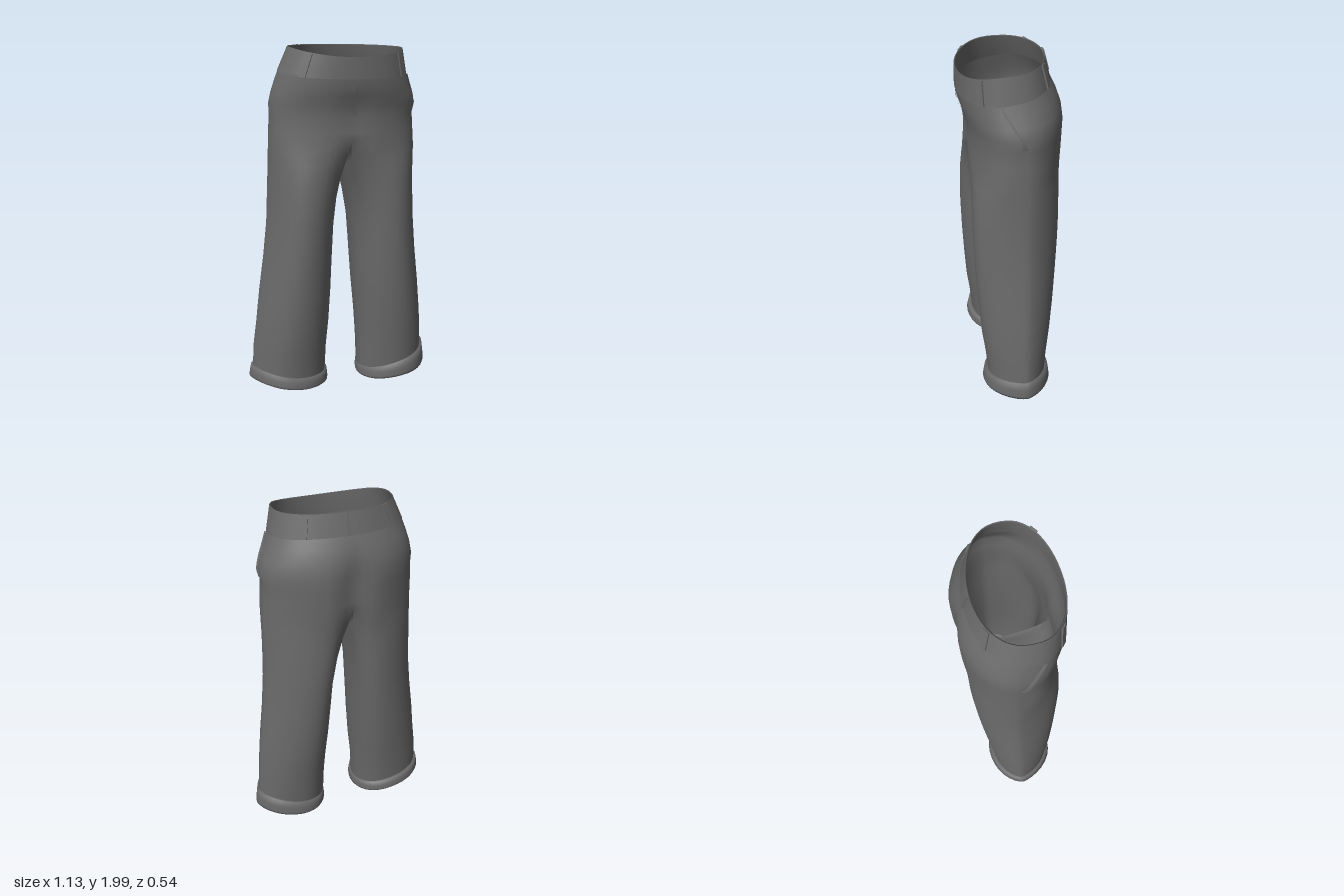
import * as THREE from 'three';
import { mergeGeometries, mergeVertices } from 'three/addons/utils/BufferGeometryUtils.js';

const cloth = new THREE.MeshStandardMaterial({ color: 0x6a6a6a, side: THREE.DoubleSide });
cloth.name = 'grey cloth';

const OUT = 28, INN = 10, RING = OUT + INN; // segments round the outside and inside of a leg
const CROTCH = 6; // row at which the inner leg begins

// y, front z, back z, blend (1 = joined hips, 0 = separate leg), tilt
const rows = [
  [1.865, .265, -.213, 1, .14], [1.80, .262, -.25, 1, .11], [1.74, .25, -.277, 1, .07],
  [1.68, .237, -.288, 1, .03], [1.62, .228, -.288, 1, 0], [1.53, .229, -.285, 1, 0],
  [1.43, .236, -.281, 1, 0], [1.36, .238, -.274, .62, 0], [1.27, .238, -.265, .3, 0],
  [1.15, .238, -.259, .1, 0], [1.0, .236, -.25, 0, 0], [.8, .23, -.238, 0, 0],
  [.6, .22, -.222, 0, 0], [.4, .207, -.202, 0, 0], [.25, .188, -.182, 0, .01], [.05, .172, -.166, 0, .02],
];
// outer and inner x for the left leg (+x) and the right leg
const widths = {
  1: [[.36, 0], [.385, 0], [.415, 0], [.438, 0], [.427, 0], [.433, 0], [.438, 0], [.442, .01], [.445, .035],
    [.45, .055], [.457, .07], [.475, .078], [.5, .086], [.52, .1], [.532, .107], [.54, .112]],
  '-1': [[.355, 0], [.375, 0], [.393, 0], [.406, 0], [.403, 0], [.41, 0], [.415, 0], [.418, .008], [.422, .03],
    [.428, .043], [.436, .054], [.46, .064], [.49, .072], [.515, .085], [.535, .1], [.545, .11]],
};
const lerp = THREE.MathUtils.lerp;
const spow = (v, p) => Math.sign(v) * Math.abs(v) ** p;
// Leg cross-section drawn to a soft point at the side seam; c points outward, s forward
const legZ = (c, s, zc, d) => zc + d * spow(s, 1 + .3 * Math.max(0, c)) - .025 * Math.max(0, c) ** 2;

// Point on a row; u 0..1 runs front to back round the outside, 1..2 returns along the inside
function rowPoint(side, r, u) {
  const [y, f, b, k, tilt] = rows[r], [o, i] = widths[side][r];
  const zc = (f + b) / 2, d = (f - b) / 2, open = 140 * Math.PI / 180;
  const phi = u <= 1 ? open * (1 - 2 * u) : -open - (u - 1) * 2 * (Math.PI - open);
  const c = Math.cos(phi), s = Math.sin(phi);
  // the back of the leg is fullest towards the inside
  const skew = lerp(.02, .07, Math.min(1, y / 1.1));
  const lx = (o + i) / 2 + (o - i) / 2 * c - skew * Math.min(0, s) ** 2;
  const lz = legZ(c, s, zc, d);
  // centre seam crease, deeper at the back
  const low = THREE.MathUtils.smoothstep(1.84 - y, 0, .2);
  let bx = 0, bz, dy = 0;
  if (u <= 1) {
    const psi = Math.PI * (.5 - u), sin = Math.sin(psi);
    bx = o * Math.max(0, Math.cos(psi));
    bz = zc + d * spow(sin, sin > 0 ? .75 : lerp(.9, 1.08, low));
    const crease = Math.exp(-((bx / .08) ** 2)) * low;
    bz += bz < 0 ? .042 * crease : -.012 * crease;
  } else bz = THREE.MathUtils.clamp(zc + d * (2 * u - 3), b + .042 * low, f - .012 * low);
  // saddle-shaped crotch
  if (r >= CROTCH) {
    const t = u <= 1 ? 1 : 2 * u - 3;
    const seam = u <= 1 ? Math.exp(-((Math.min(u, 1 - u) / .1) ** 2)) : t * t;
    dy = k * (.06 * seam - .04 * (1 - t * t));
  }
  const x = lerp(lx, bx, k), z = lerp(lz, bz, k);
  dy += r < CROTCH ? -tilt * z : tilt * (x - (o + i) / 2) / ((o - i) / 2);
  return new THREE.Vector3(side * x, y + dy, z);
}

// Surface through rings listed top to bottom
function loft(rings, closed, flip = false, skip = () => false) {
  const n = rings[0].length, index = [];
  for (let r = 0; r < rings.length - 1; r++) {
    for (let j = 0; j < (closed ? n : n - 1); j++) {
      if (skip(r, j)) continue;
      const a = r * n + j, b = r * n + (j + 1) % n, c = a + n, e = b + n;
      index.push(...(flip ? [a, b, c, b, e, c] : [a, c, b, b, c, e]));
    }
  }
  const g = new THREE.BufferGeometry().setFromPoints(rings.flat());
  g.setIndex(index);
  return g;
}

function add(group, name, geometry) {
  geometry.computeVertexNormals();
  const m = new THREE.Mesh(geometry, cloth);
  m.name = name;
  group.add(m);
  return m;
}

function halfTrousers(side) {
  const rings = rows.map((_, r) => Array.from({ length: RING }, (_, j) =>
    rowPoint(side, r, j <= OUT ? j / OUT : 1 + (j - OUT) / INN)));
  return loft(rings, true, side < 0, (r, j) => r < CROTCH && j >= OUT);
}

// Point on the outside of the hips at any height
function hipPoint(side, y, u, lift) {
  let r = 0;
  while (r < CROTCH - 1 && rows[r + 1][0] > y) r++;
  const t = (rows[r][0] - y) / (rows[r][0] - rows[r + 1][0]);
  const p = rowPoint(side, r, u).lerp(rowPoint(side, r + 1, u), t);
  const out = new THREE.Vector3(p.x, 0, p.z).normalize();
  return p.addScaledVector(out, lift);
}

// Waistband surface; v 0 at the bottom, 1 at the top, angle 0 at the front
function bandPoint(a, v, lift = 0) {
  const s = Math.sin(a), cos = Math.cos(a), c = spow(cos, cos > 0 ? .82 : .88);
  const x = s * (lerp(s > 0 ? .362 : .357, s > 0 ? .332 : .302, v) + lift);
  const f = lerp(.266, .264, v), b = lerp(-.214, -.182, v);
  const z = (f + b) / 2 + c * ((f - b) / 2 + lift);
  const top = 1.986 - (z > 0 ? .78 * z * z : .07 * z);
  return new THREE.Vector3(x, lerp(1.855 - .14 * z, top, v), z);
}

function waistband(group) {
  const ring = (v, lift) => Array.from({ length: 48 }, (_, j) => bandPoint(j / 48 * Math.PI * 2, v, lift));
  add(group, 'waistband', loft([ring(1, .004), ring(.5, .004), ring(0, .004)], true));
  add(group, 'waistbandLining', loft([ring(1, .004), ring(.97, -.004), ring(0, -.003)], true, true));
  for (const a of [.95, -.86, Math.PI, Math.PI - .72, Math.PI + .68]) {
    const lo = bandPoint(a, 0, .009), hi = bandPoint(a, 1, .009);
    const up = hi.clone().sub(lo), len = up.length();
    up.normalize();
    const across = bandPoint(a + .03, .5).sub(bandPoint(a - .03, .5));
    const out = new THREE.Vector3().crossVectors(across, up).normalize();
    across.crossVectors(up, out);
    const loop = add(group, 'beltLoop', new THREE.BoxGeometry(.042, len * .96, .008));
    loop.quaternion.setFromRotationMatrix(new THREE.Matrix4().makeBasis(across, up, out));
    loop.position.copy(lo).lerp(hi, .5);
  }
}

// Turned-up cuff: thin flared band that dips towards the inner leg
function cuff(side) {
  const [o, i, yo, yi] = side > 0 ? [.54, .115, [.17, .052], [.065, .004]] : [.546, .1, [.14, .068], [.08, .015]];
  // grow outward, height from bottom (0) to top (1)
  const steps = [[-.02, .9], [.008, 1], [.015, .55], [.02, .15], [.016, 0], [-.016, .1]];
  const rings = steps.map(([grow, h]) => Array.from({ length: 32 }, (_, j) => {
    const a = j / 32 * Math.PI * 2, s = Math.sin(a), c = Math.cos(a), t = (s + 1) / 2;
    const wave = .004 * Math.sin(3 * a + side);
    const y = lerp(lerp(yi[1], yo[1], t ** .7), lerp(yi[0], yo[0], t ** .8), h) + wave;
    const x = (o + i) / 2 + s * ((o - i) / 2 + grow * (s > 0 ? 1 : .4)) - .02 * Math.min(0, c) ** 2;
    return new THREE.Vector3(side * x, Math.max(0, y), legZ(s, c, .004, .185 + grow));
  }));
  return loft(rings, true, side < 0);
}

export function createModel() {
  const group = new THREE.Group();
  group.name = 'trousers';
  const halves = mergeGeometries([halfTrousers(1), halfTrousers(-1)]);
  add(group, 'hipsAndLegs', mergeVertices(halves, 1e-4));
  waistband(group);
  for (const side of [1, -1]) {
    add(group, side > 0 ? 'leftCuff' : 'rightCuff', cuff(side));
    // slanted pocket edge
    const pocket = Array.from({ length: 7 }, (_, k) => {
      const y = lerp(1.85, 1.64, k / 6), u = lerp(.42, .48, k / 6);
      return [0, .01, .02].map((w, n) => hipPoint(side, y, u + w, n < 2 ? .007 : .001));
    });
    add(group, side > 0 ? 'leftPocket' : 'rightPocket', loft(pocket, false, side < 0));
  }
  // fly flap
  const fly = Array.from({ length: 6 }, (_, k) =>
    [0, .008, .017].map((u) => hipPoint(1, lerp(1.85, 1.62, k / 5), u, .006)));
  add(group, 'fly', loft(fly, false));
  return group;
}
